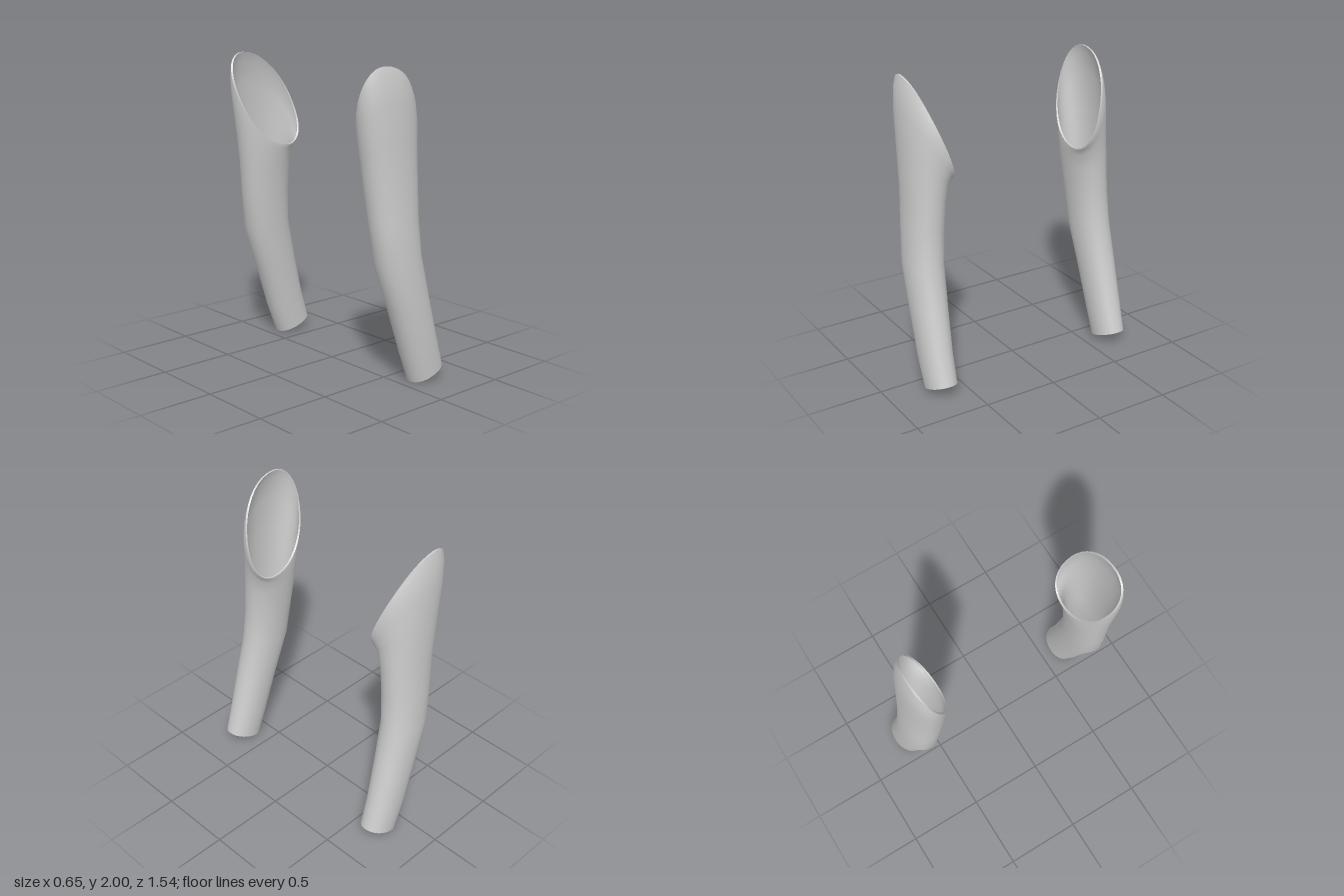
import * as THREE from 'three';
import { toCreasedNormals } from 'three/addons/utils/BufferGeometryUtils.js';

const SEGMENTS = 36;
const WALL = 0.012;

// Cross-sections from cuff to shoulder:
// [left x, left y, right x, right y, inner z, outer z, tilt towards outer side, skew of x]
const RINGS = [
  [0.075, 0.0, 0.32, 0.09, 0.57, 0.762, 0, 0],
  [0.0, 0.2, 0.262, 0.28, 0.563, 0.77, 0, 0],
  [-0.095, 0.5, 0.19, 0.56, 0.545, 0.772, 0, 0],
  [-0.2, 0.8, 0.127, 0.84, 0.525, 0.768, 0, 0],
  [-0.232, 1.05, 0.115, 1.06, 0.507, 0.753, 0, 0],
  [-0.26, 1.28, 0.12, 1.27, 0.487, 0.739, 0.03, 0],
  [-0.285, 1.46, 0.13, 1.44, 0.475, 0.733, 0.12, -0.02],
  [-0.31, 1.61, 0.148, 1.55, 0.469, 0.725, 0.21, -0.04],
  [-0.321, 1.7, 0.154, 1.62, 0.467, 0.708, 0.28, -0.055],
  [-0.322, 1.74, 0.152, 1.65, 0.467, 0.688, 0.305, -0.06],
];

// Slightly squared ellipse
const soften = (v) => Math.sign(v) * Math.abs(v) ** 0.92;

function ringPoint([lx, ly, rx, ry, iz, oz, tilt, skew], inset, angle, side) {
  const c = soften(Math.cos(angle));
  const s = soften(Math.sin(angle));
  return [
    (lx + rx) / 2 + ((rx - lx) / 2 - inset) * c + skew * s,
    (ly + ry) / 2 + ((ry - ly) / 2) * c + tilt * s,
    side * ((iz + oz) / 2 + ((oz - iz) / 2 - inset) * s),
  ];
}

// Hollow sleeve: up the outside, over the rim, down the lining, round the cuff
function sleeveGeometry(side) {
  const loops = [
    ...RINGS.map((ring) => [ring, 0]),
    ...[...RINGS].reverse().map((ring) => [ring, WALL]),
  ];
  const positions = [];
  const indices = [];
  loops.forEach(([ring, inset], i) => {
    const next = (i + 1) % loops.length;
    for (let j = 0; j < SEGMENTS; j++) {
      positions.push(...ringPoint(ring, inset, (j / SEGMENTS) * Math.PI * 2, side));
      const k = (j + 1) % SEGMENTS;
      const a = i * SEGMENTS + j;
      const b = next * SEGMENTS + j;
      const c = next * SEGMENTS + k;
      const d = i * SEGMENTS + k;
      if (side > 0) indices.push(a, b, d, b, c, d);
      else indices.push(a, d, b, b, d, c);
    }
  });
  const geometry = new THREE.BufferGeometry();
  geometry.setAttribute('position', new THREE.Float32BufferAttribute(positions, 3));
  geometry.setIndex(indices);
  return toCreasedNormals(geometry, 0.7);
}

export function createModel() {
  const group = new THREE.Group();
  group.name = 'sleeves';
  const material = new THREE.MeshStandardMaterial({ color: 0xcccccc });
  for (const [name, side] of [['frontSleeve', 1], ['backSleeve', -1]]) {
    const sleeve = new THREE.Mesh(sleeveGeometry(side), material);
    sleeve.name = name;
    group.add(sleeve);
  }
  return group;
}
